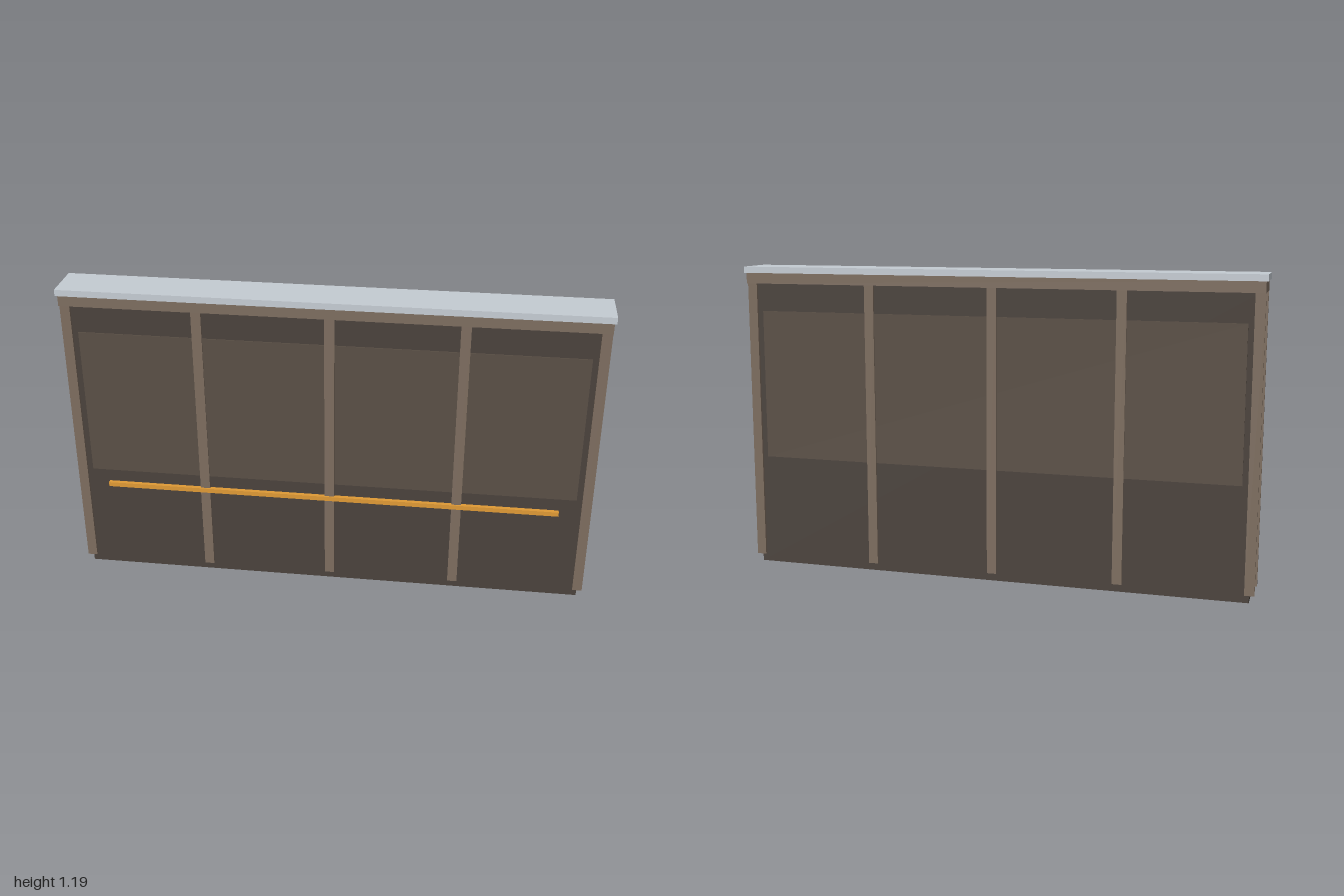
import * as THREE from 'three';

export function createModel() {
  const group = new THREE.Group();
  const mat = (color) => new THREE.MeshStandardMaterial({ color });
  const wallMat = mat(0x4a423c), panelMat = mat(0x5a4f45), timberMat = mat(0x7d6d5f);
  const capMat = mat(0xc5ccd3), railMat = mat(0xe09a35);

  // Box given by centre x, half width, y range and z range
  const box = (name, material, x, halfW, y0, y1, z0, z1) => {
    const mesh = new THREE.Mesh(new THREE.BoxGeometry(halfW * 2, y1 - y0, z1 - z0), material);
    mesh.position.set(x, (y0 + y1) / 2, (z0 + z1) / 2);
    mesh.name = name;
    group.add(mesh);
  };

  // Wall core, top beam and overhanging cap
  box('wall', wallMat, 0, 0.973, 0, 1.125, -0.058, 0.058);
  box('topBeam', timberMat, 0, 0.993, 1.125, 1.166, -0.078, 0.078);
  box('cap', capMat, 0, 1, 1.166, 1.19, -0.085, 0.085);

  // Raised panel and five posts on each face
  for (const [side, s] of [['front', 1], ['back', -1]]) {
    const layer = (name, material, x, halfW, y0, y1, depth) =>
      box(side + name, material, x, halfW, y0, y1,
        s > 0 ? 0.057 : -depth, s > 0 ? depth : -0.057);
    layer('Panel', panelMat, 0, 0.935, 0.435, 1.017, 0.062);
    for (let i = -2; i <= 2; i++) layer('Post', timberMat, i * 0.4873, 0.0185, 0.03, 1.125, 0.0675);
  }

  // Thin rail along the front only
  box('rail', railMat, 0, 0.873, 0.366, 0.384, 0.058, 0.0735);

  return group;
}
